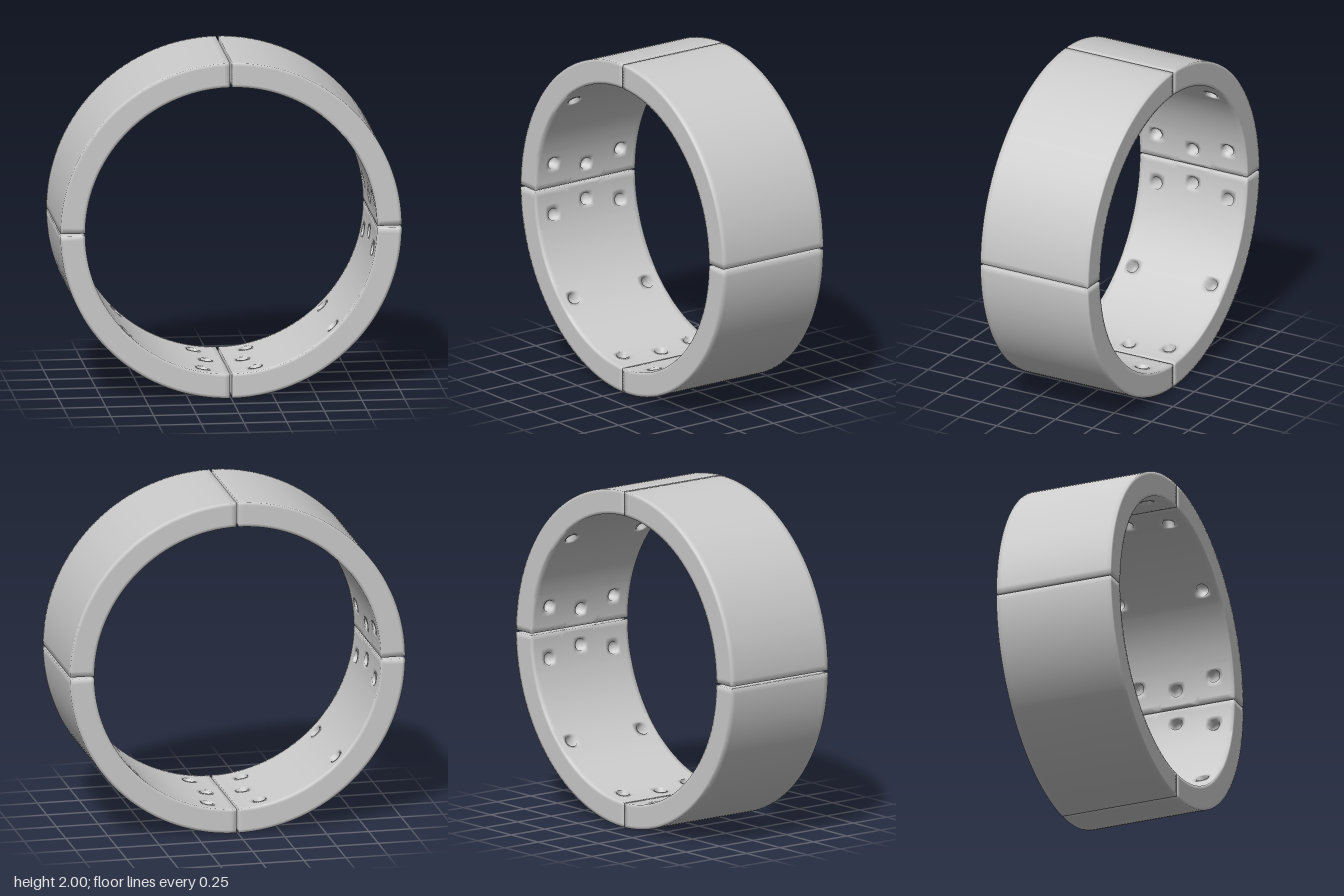
import * as THREE from 'three';
import { mergeVertices } from 'three/addons/utils/BufferGeometryUtils.js';

const OUTER = 1, INNER = 0.855, HALF = 0.36;   // ring radii and half width
const HOLE_R = 0.036, HOLE_DEPTH = 0.05;       // small sockets in the inner wall
const N = 8;                                   // divisions per cell side
const rad = THREE.MathUtils.degToRad, lerp = THREE.MathUtils.lerp;

// Cell borders (degrees along the arc, z across the width)
const ARC = [0.4, 16, 38, 52, 74, 89.6];
const WIDTH = [-HALF, -0.12, 0.12, HALF];
// Sockets: [degrees, z]
const HOLES = [[45, -0.265], [45, 0.265]];
for (const end of [(a) => a, (a) => 90 - a])
  HOLES.push([end(10.6), -0.24], [end(7.2), 0], [end(10.6), 0.24]);

const polar = (r, deg, z) => [r * Math.cos(rad(deg)), r * Math.sin(rad(deg)), z];

// Splits every interval of a border list into N steps
function subdivide(borders) {
  const out = [borders[0]];
  for (let i = 1; i < borders.length; i++)
    for (let k = 1; k <= N; k++) out.push(lerp(borders[i - 1], borders[i], k / N));
  return out;
}

// Adds a grid of quads; the face looks along du x dv
function grid(pos, us, vs, f) {
  for (let i = 0; i + 1 < us.length; i++)
    for (let j = 0; j + 1 < vs.length; j++) {
      const a = f(us[i], vs[j]), b = f(us[i + 1], vs[j]);
      const c = f(us[i + 1], vs[j + 1]), d = f(us[i], vs[j + 1]);
      pos.push(...a, ...b, ...c, ...a, ...c, ...d);
    }
}

// Point on the border of the square [-1, 1], counter-clockwise
function squarePoint(k) {
  const side = Math.floor(k / N) % 4, t = -1 + 2 * (k % N) / N;
  return [[1, t], [-t, 1], [-1, -t], [t, -1]][side];
}

// Inner wall cell with a round socket, blended out to the cell border
function socketCell(pos, z0, z1, a0, a1, [ha, hz]) {
  const steps = [...Array(4 * N + 1).keys()];
  const f = (level, k) => {
    const [sx, sy] = squarePoint(k), len = Math.hypot(sx, sy);
    const scale = level === 0 ? 0 : HOLE_R / len;
    const cz = hz + sx * scale;
    const ca = ha + THREE.MathUtils.radToDeg(sy * scale / INNER);
    if (level < 2) return polar(INNER + HOLE_DEPTH, ca, cz);
    const t = (level - 2) / 4;
    const bz = lerp(z0, z1, (sx + 1) / 2), ba = lerp(a0, a1, (sy + 1) / 2);
    return polar(INNER, lerp(ca, ba, t), lerp(cz, bz, t));
  };
  grid(pos, [0, 1, 2, 3, 4, 5, 6], steps, f);
}

function quarterGeometry() {
  const pos = [];
  const as = subdivide(ARC), zs = subdivide(WIDTH), rs = subdivide([INNER, OUTER]);
  const first = ARC[0], last = ARC[ARC.length - 1];
  // Outer wall
  grid(pos, as, zs, (a, z) => polar(OUTER, a, z));
  // Front and back rims
  grid(pos, rs, as, (r, a) => polar(r, a, HALF));
  grid(pos, as, rs, (a, r) => polar(r, a, -HALF));
  // Flat ends at the seams
  grid(pos, rs, zs, (r, z) => polar(r, first, z));
  grid(pos, zs, rs, (z, r) => polar(r, last, z));
  // Inner wall, cell by cell
  for (let i = 0; i + 1 < ARC.length; i++)
    for (let j = 0; j + 1 < WIDTH.length; j++) {
      const [a0, a1, z0, z1] = [ARC[i], ARC[i + 1], WIDTH[j], WIDTH[j + 1]];
      const hole = HOLES.find(([a, z]) => a > a0 && a < a1 && z > z0 && z < z1);
      if (hole) socketCell(pos, z0, z1, a0, a1, hole);
      else grid(pos, subdivide([z0, z1]), subdivide([a0, a1]), (z, a) => polar(INNER, a, z));
    }
  // Welded corners give the soft edge shading
  let geo = new THREE.BufferGeometry();
  geo.setAttribute('position', new THREE.Float32BufferAttribute(pos, 3));
  geo = mergeVertices(geo, 1e-5);
  geo.computeVertexNormals();
  return geo;
}

export function createModel() {
  const group = new THREE.Group();
  group.name = 'segmentedRing';
  const material = new THREE.MeshStandardMaterial({ color: 0xcccccc });
  const geometry = quarterGeometry();
  // Four equal quarters with thin seams between them
  ['upperLeft', 'upperRight', 'lowerRight', 'lowerLeft'].forEach((name, i) => {
    const quarter = new THREE.Mesh(geometry, material);
    quarter.name = name + 'Quarter';
    quarter.rotation.z = i * Math.PI / 2;
    quarter.position.y = 1;
    group.add(quarter);
  });
  return group;
}
